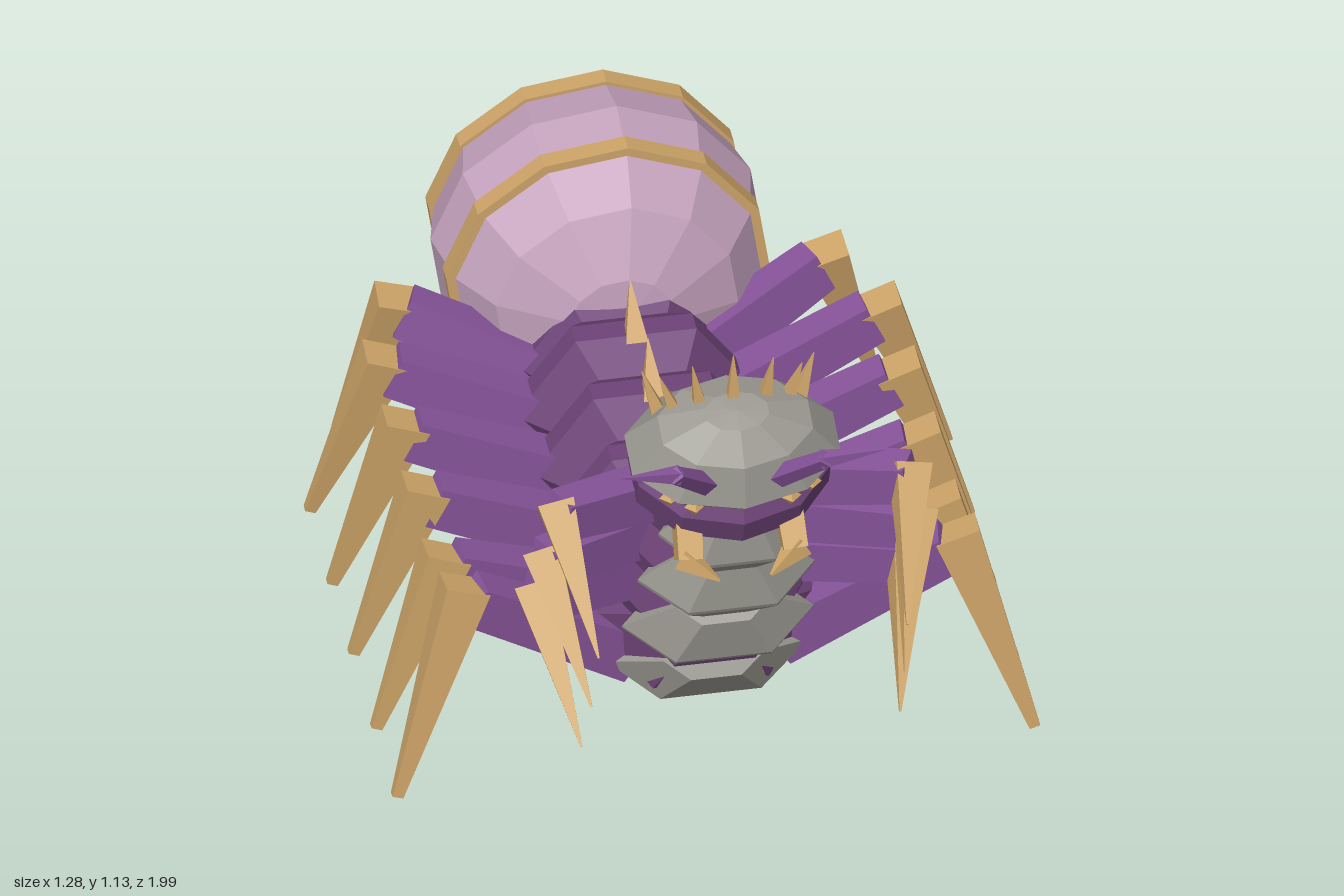
import * as THREE from 'three';

const mat = (name, color) => {
  const m = new THREE.MeshStandardMaterial({ color });
  m.name = name;
  return m;
};

export function createModel() {
  const root = new THREE.Group();
  root.name = 'armouredCentipede';
  const shell = mat('shellPurple', 0x6e4478);
  const limb = mat('limbPurple', 0x87549a);
  const horn = mat('hornTan', 0xcda468);
  const plate = mat('plateGrey', 0x9a9890);
  const sac = mat('sacPink', 0xc4a2bd);

  const V = (x, y, z) => new THREE.Vector3(x, y, z);

  // Faceted mesh: every face gets its own normal
  function add(parent, name, geo, material) {
    const g = geo.index ? geo.toNonIndexed() : geo;
    g.computeVertexNormals();
    const m = new THREE.Mesh(g, material);
    m.name = name;
    parent.add(m);
    return m;
  }

  // Four-sided bar from a to b; half sizes at each end, "deep" scales the depth
  function bar(parent, name, a, b, r0, r1, material, deep = 1) {
    const dir = b.clone().sub(a);
    const len = dir.length();
    dir.normalize();
    const geo = new THREE.CylinderGeometry(r1 * Math.SQRT2, r0 * Math.SQRT2, len, 4);
    geo.rotateY(Math.PI / 4).scale(1, 1, deep);
    const ref = Math.abs(dir.z) > 0.8 ? V(0, 1, 0) : V(0, 0, 1);
    const side = dir.clone().cross(ref).normalize();
    const front = side.clone().cross(dir);
    const mid = a.clone().add(b).multiplyScalar(0.5);
    geo.applyMatrix4(new THREE.Matrix4().makeBasis(side, dir, front).setPosition(mid));
    return add(parent, name, geo, material);
  }

  // Faceted solid of revolution about y, scaled across x and z
  function turned(profile, sides, sx, sz, phase = 0) {
    const pts = profile.map(([r, y]) => new THREE.Vector2(r, y));
    return new THREE.LatheGeometry(pts, sides, phase).scale(sx, 1, sz);
  }

  const ridge = (half, flat, end) =>
    [[0, -half], [end, -half], [1, -flat], [1, flat], [end, half], [0, half]];
  const hexBlock = (w, h, half, flat, end) =>
    turned(ridge(half, flat, end), 6, w, h / 0.866, Math.PI / 2);

  // Body segments: z, y, tilt, half width, half height, belly plate half width
  const segments = [
    [-0.45, 0.23, 1.57, 0.2, 0.15, 0],
    [-0.29, 0.24, 1.57, 0.24, 0.165, 0],
    [-0.10, 0.24, 1.57, 0.24, 0.165, 0],
    [0.10, 0.24, 1.57, 0.24, 0.165, 0],
    [0.28, 0.245, 1.5, 0.24, 0.165, 0],
    [0.44, 0.285, 1.05, 0.23, 0.16, 0.2],
    [0.53, 0.43, 0.65, 0.21, 0.15, 0.19],
    [0.61, 0.59, 0.45, 0.2, 0.15, 0.175],
    [0.67, 0.74, 0.4, 0.19, 0.14, 0.145],
  ];
  segments.forEach(([z, y, tilt, w, h, belly], i) => {
    const seg = new THREE.Group();
    seg.name = 'bodySegment' + (i + 1);
    seg.position.set(0, y, z);
    seg.rotation.x = tilt;
    root.add(seg);
    add(seg, 'shellRing', hexBlock(w, h, 0.12, 0.025, 0.62), shell);
    if (i > 0) bar(seg, 'backSpine', V(0, 0.02, -h + 0.02), V(0, -0.04, -h - 0.085), 0.022, 0.001, horn);
    if (belly) {
      const p = add(seg, 'bellyPlate', hexBlock(belly, 0.085, 0.1, 0.005, 0.5), plate);
      p.position.z = 0.1;
    }
  });

  // Rounded rear sac with two raised bands
  const abdomen = new THREE.Group();
  abdomen.name = 'abdomen';
  abdomen.position.set(0, 0.33, -0.4);
  abdomen.rotation.x = -Math.PI / 2;
  root.add(abdomen);
  add(abdomen, 'sac', turned([[0, 0], [0.1, 0.01], [0.23, 0.07], [0.29, 0.16], [0.315, 0.29],
    [0.288, 0.41], [0.205, 0.52], [0.1, 0.58], [0, 0.6]], 12, 1.05, 1, 0.12), sac);
  for (const [y, r] of [[0.18, 0.308], [0.41, 0.3]]) {
    add(abdomen, 'sacBand', turned([[r - 0.05, y - 0.02], [r, y - 0.02], [r, y + 0.02],
      [r - 0.05, y + 0.02]], 12, 1.05, 1, 0.12), horn);
  }

  // Head: purple skull under a grey cap
  const skull = add(root, 'skull', turned([[0, -0.12], [0.5, -0.115], [1, -0.03], [1, 0.03],
    [0.65, 0.1], [0, 0.11]], 10, 0.2, 0.165), shell);
  skull.position.set(0, 0.84, 0.735);
  skull.rotation.x = 0.38;
  const cap = add(root, 'headCap', turned([[0, -0.05], [0.75, -0.05], [1, 0.015], [0.72, 0.095],
    [0.3, 0.135], [0, 0.14]], 10, 0.217, 0.15), plate);
  cap.position.set(0, 0.895, 0.765);
  cap.rotation.x = 0.38;
  bar(root, 'crownSpike', V(0, 0.99, 0.775), V(0, 1.13, 0.78), 0.017, 0.001, horn);

  // Walking legs: hip z, knee x y z, foot x z
  const legs = [
    [0.46, 0.475, 0.42, 0.53, 0.63, 0.59],
    [0.28, 0.475, 0.35, 0.33, 0.63, 0.365],
    [0.09, 0.475, 0.35, 0.11, 0.63, 0.12],
    [-0.10, 0.475, 0.35, -0.105, 0.63, -0.11],
    [-0.28, 0.475, 0.35, -0.315, 0.63, -0.35],
    [-0.44, 0.41, 0.32, -0.535, 0.53, -0.595],
  ];
  // Raised arms: shoulder x y z, knee x y z, claw tip x y z
  const arms = [
    [[0.13, 0.75, 0.68], [0.35, 0.795, 0.79], [0.305, 0.59, 0.99]],
    [[0.14, 0.61, 0.61], [0.37, 0.645, 0.74], [0.31, 0.435, 0.94]],
    [[0.15, 0.46, 0.54], [0.37, 0.495, 0.65], [0.315, 0.28, 0.86]],
  ];
  // Crown spikes: base x y z, tip x y z
  const crown = [
    [[0.06, 0.985, 0.765], [0.08, 1.11, 0.775]],
    [[0.105, 0.97, 0.75], [0.14, 1.075, 0.755]],
    [[0.135, 0.96, 0.725], [0.17, 1.07, 0.72]],
  ];

  for (const s of [1, -1]) {
    const P = ([x, y, z]) => V(s * x, y, z);
    const side = s > 0 ? 'left' : 'right';

    for (const [hz, kx, ky, kz, fx, fz] of legs) {
      const leg = new THREE.Group();
      leg.name = side + 'Leg';
      root.add(leg);
      bar(leg, 'thigh', P([0.14, 0.2, hz]), P([kx, ky, kz]), 0.055, 0.045, limb, 0.75);
      bar(leg, 'shin', P([kx + 0.01, ky + 0.035, kz]), P([fx, 0.004, fz]), 0.045, 0.011, horn, 0.8);
    }

    for (const [a, b, c] of arms) {
      const arm = new THREE.Group();
      arm.name = side + 'Arm';
      root.add(arm);
      bar(arm, 'upperArm', P(a), P(b), 0.048, 0.042, limb, 0.8);
      bar(arm, 'claw', P([b[0], b[1] + 0.02, b[2] - 0.015]), P(c), 0.036, 0.002, horn);
    }

    for (const [a, b] of crown) bar(root, side + 'CrownSpike', P(a), P(b), 0.016, 0.001, horn);

    // Two-part antenna
    bar(root, side + 'AntennaBase', P([0.045, 0.87, 0.85]), P([0.15, 1.0, 0.97]), 0.018, 0.013, limb);
    bar(root, side + 'AntennaTip', P([0.14, 0.992, 0.96]), P([0.26, 1.022, 0.99]), 0.014, 0.001, limb);

    // Eyes
    for (const e of [[0.095, 0.85, 0.88], [0.14, 0.86, 0.855]]) {
      add(root, side + 'Eye', new THREE.OctahedronGeometry(0.021), horn).position.copy(P(e));
    }

    // Hooked mandible
    bar(root, side + 'MandibleBase', P([0.1, 0.785, 0.82]), P([0.105, 0.715, 0.87]), 0.026, 0.024, horn);
    bar(root, side + 'MandibleHook', P([0.115, 0.72, 0.865]), P([0.05, 0.685, 0.91]), 0.022, 0.002, horn);
  }

  return root;
}
